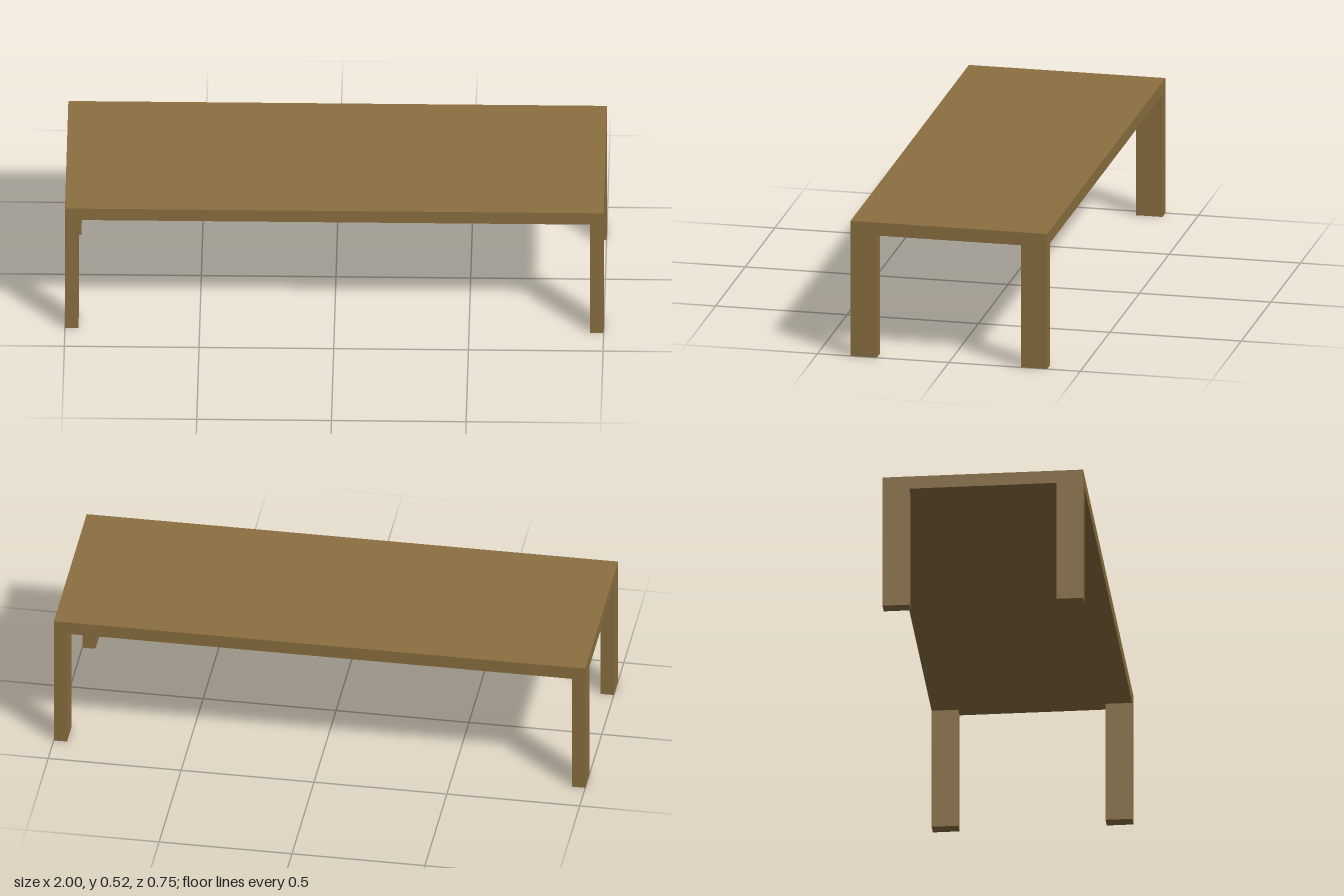
import * as THREE from 'three';

export function createModel() {
  const wood = new THREE.MeshStandardMaterial({ color: 0x8b6f40 });
  wood.name = 'brown wood';

  const width = 2, depth = 0.748, height = 0.525, slab = 0.05;
  const legWidth = 0.05, legDepth = 0.1, legHeight = height - slab;

  const group = new THREE.Group();
  group.name = 'table';

  const addBox = (name, size, position) => {
    const mesh = new THREE.Mesh(new THREE.BoxGeometry(...size), wood);
    mesh.name = name;
    mesh.position.set(...position);
    group.add(mesh);
  };

  // Flat slab top
  addBox('tableTop', [width, slab, depth], [0, height - slab / 2, 0]);

  // Four legs flush with the corners
  for (const [sideName, sx] of [['Left', 1], ['Right', -1]]) {
    for (const [endName, sz] of [['front', 1], ['back', -1]]) {
      addBox(`${endName}${sideName}Leg`, [legWidth, legHeight, legDepth],
        [sx * (width - legWidth) / 2, legHeight / 2, sz * (depth - legDepth) / 2]);
    }
  }
  return group;
}
